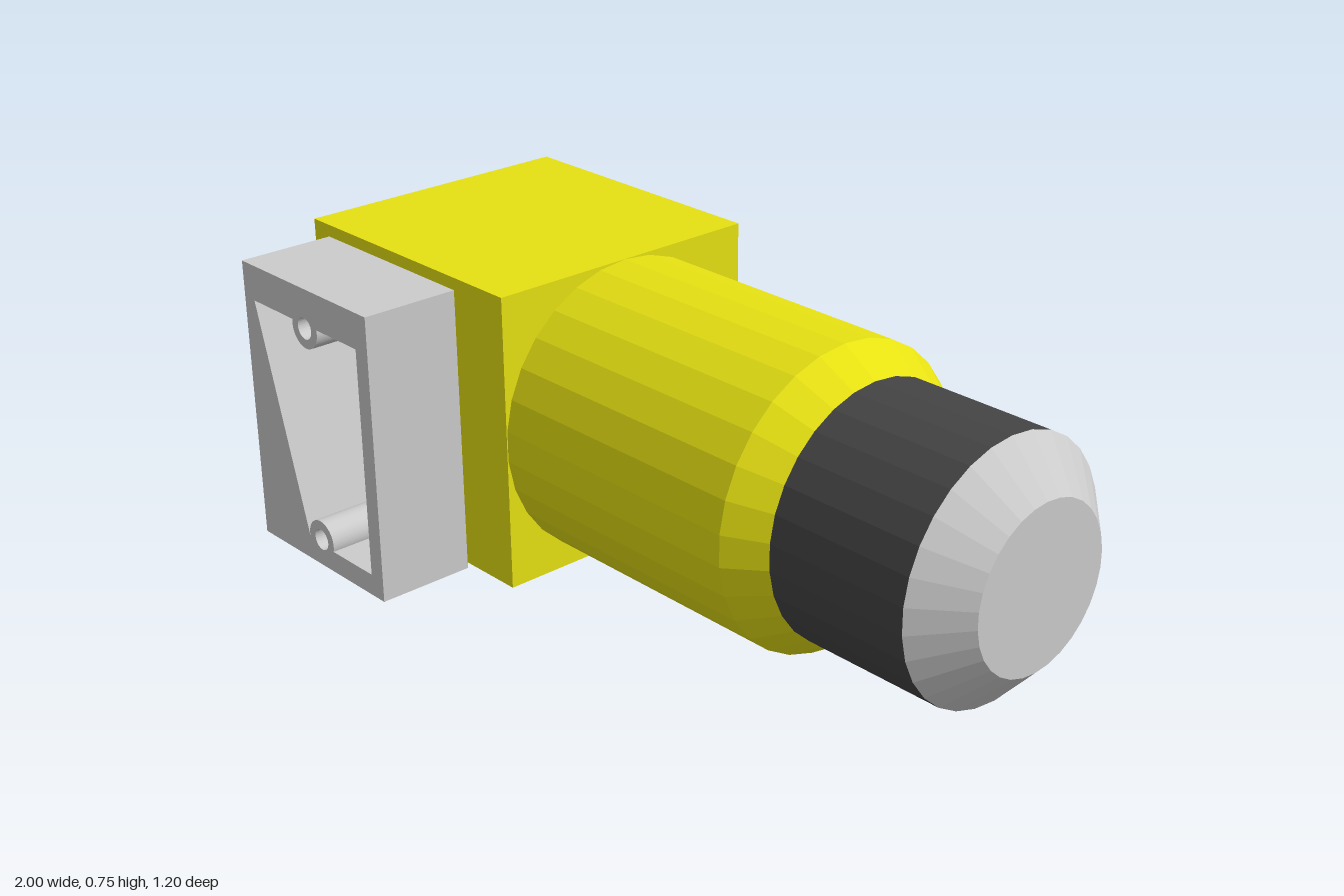
import * as THREE from 'three';

const material = (color) => new THREE.MeshStandardMaterial({ color, flatShading: true });
const yellow = material(0xe6e112);
const dark = material(0x444444);
const grey = material(0xcccccc);

const AXIS_Y = 0.383, AXIS_Z = -0.015;

export function createModel() {
  const group = new THREE.Group();
  const add = (name, geometry, mat, x, y, z) => {
    const mesh = new THREE.Mesh(geometry, mat);
    mesh.name = name;
    mesh.position.set(x, y, z);
    group.add(mesh);
  };

  // Square gear housing
  add('housing', new THREE.BoxGeometry(0.735, 0.735, 0.735), yellow, -0.6325, AXIS_Y, AXIS_Z);

  // Round sections along the x axis: name, start, end, start radius, end radius
  const sections = [
    ['motorBarrel', -0.27, 0.44, 0.367, 0.367, yellow],
    ['barrelTaper', 0.44, 0.53, 0.367, 0.308, yellow],
    ['endSleeve', 0.53, 0.90, 0.308, 0.308, dark],
    ['endCap', 0.90, 1.0, 0.308, 0.197, grey],
  ];
  for (const [name, x0, x1, r0, r1, mat] of sections) {
    const geometry = new THREE.CylinderGeometry(r1, r0, x1 - x0, 30);
    geometry.rotateY(Math.PI / 2).rotateZ(-Math.PI / 2);
    add(name, geometry, mat, (x0 + x1) / 2, AXIS_Y, AXIS_Z);
  }

  // Open connection box: rectangular frame with two screw bosses on its inner edges
  const bossX = -0.69, topY = 0.62, bottomY = 0.07, bossR = 0.05;
  const left = -0.9, right = -0.485, low = 0.055, high = 0.63;
  const frame = new THREE.Shape();
  frame.moveTo(-0.94, 0).lineTo(-0.44, 0).lineTo(-0.44, 0.72).lineTo(-0.94, 0.72).closePath();

  const opening = new THREE.Path();
  const a = Math.asin((high - topY) / bossR);
  const b = Math.asin((low - bottomY) / bossR);
  opening.moveTo(left, low);
  opening.absarc(bossX, bottomY, bossR, Math.PI - b, b, true);
  opening.lineTo(right, low).lineTo(right, high);
  opening.absarc(bossX, topY, bossR, a, -Math.PI - a, true);
  opening.lineTo(left, high).closePath();
  frame.holes.push(opening);
  for (const y of [bottomY, topY]) {
    frame.holes.push(new THREE.Path().absarc(bossX, y, 0.027, 0, Math.PI * 2, true));
  }
  add('connectionBox', new THREE.ExtrudeGeometry(frame, {
    depth: 0.248, bevelEnabled: false, curveSegments: 16,
  }), grey, 0, 0, 0.352);

  // Headed pin on the back of the housing
  const pin = (name, radius, z0, z1) => add(name,
    new THREE.CylinderGeometry(radius, radius, z1 - z0, 30).rotateX(Math.PI / 2),
    grey, -0.78, 0.4, (z0 + z1) / 2);
  pin('pinShaft', 0.047, -0.58, -0.38);
  pin('pinHead', 0.08, -0.6, -0.58);

  return group;
}
